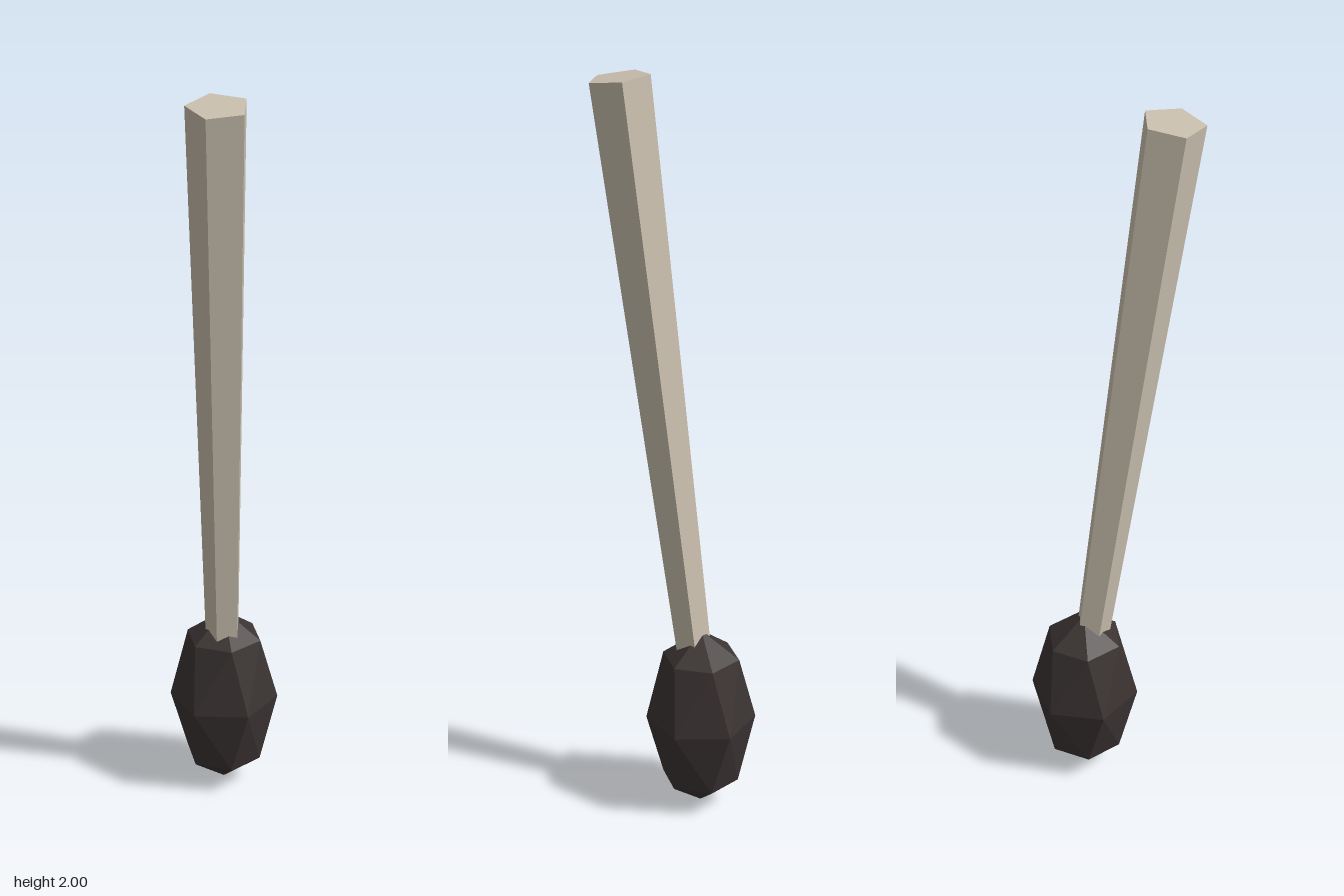
import * as THREE from 'three';
import { ConvexGeometry } from 'three/addons/geometries/ConvexGeometry.js';

// Six points around the vertical axis, turned by a given angle
function hexRing(radius, y, turn) {
  return Array.from({ length: 6 }, (_, i) => {
    const a = turn + (i * Math.PI) / 3;
    return new THREE.Vector3(radius * Math.cos(a), y, radius * Math.sin(a));
  });
}

export function createModel() {
  const group = new THREE.Group();
  const charred = new THREE.MeshStandardMaterial({ color: 0x3b3433, flatShading: true });
  charred.name = 'charredBlack';
  const wood = new THREE.MeshStandardMaterial({ color: 0xc9bfae, flatShading: true });
  wood.name = 'paleWood';

  // Faceted egg-shaped head: widest hexagon in the middle, twisted rings above and below
  const half = 0.259;
  const twist = Math.PI / 12;
  const ringY = half * Math.SQRT1_2;
  const head = new THREE.Mesh(new ConvexGeometry([
    new THREE.Vector3(0, -half, 0),
    ...hexRing(0.104, -ringY, twist),
    ...hexRing(0.147, 0, 0),
    ...hexRing(0.104, ringY, twist),
    new THREE.Vector3(0, half, 0),
  ]), charred);
  head.name = 'head';
  head.position.set(0, half, -0.095);
  group.add(head);

  // Five-sided tapered stick, leaning forward, its thin end sunk into the head
  const length = 1.65;
  const stickGeometry = new THREE.CylinderGeometry(0.081, 0.046, length, 5, 1, false, -Math.PI / 2);
  stickGeometry.translate(0, -length / 2, 0);
  const stick = new THREE.Mesh(stickGeometry, wood);
  stick.name = 'stick';
  stick.position.set(0, 1.99, 0.144);
  stick.rotation.x = THREE.MathUtils.degToRad(8);
  group.add(stick);

  return group;
}
